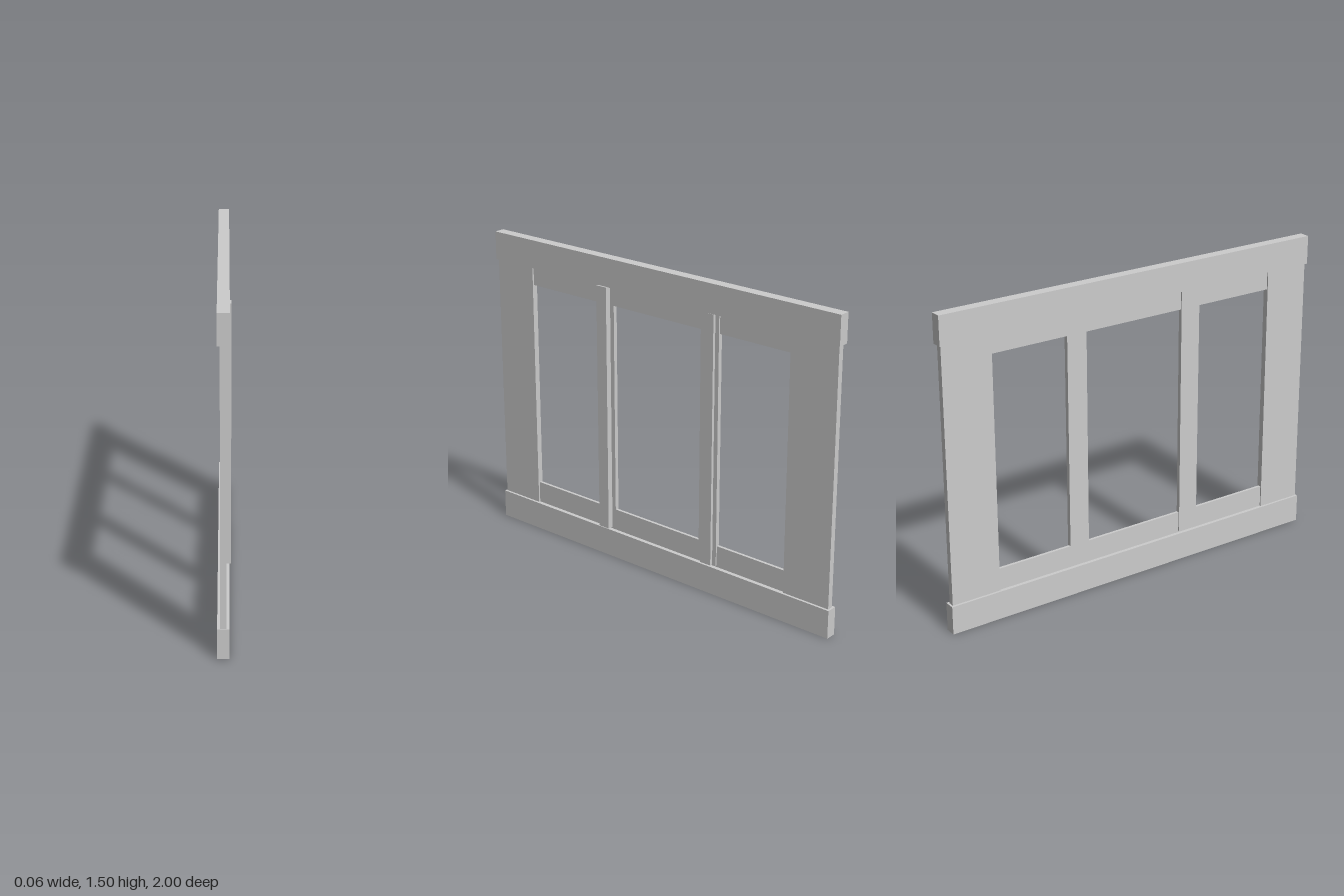
import * as THREE from 'three';

export function createModel() {
  const group = new THREE.Group();
  group.name = 'windowFrame';
  const material = new THREE.MeshStandardMaterial({ color: 0xcccccc, flatShading: true });

  // Plank given by its [min, max] extents on each axis
  const plank = (name, x, y, z) => {
    const mesh = new THREE.Mesh(
      new THREE.BoxGeometry(x[1] - x[0], y[1] - y[0], z[1] - z[0]), material);
    mesh.position.set((x[0] + x[1]) / 2, (y[0] + y[1]) / 2, (z[0] + z[1]) / 2);
    mesh.name = name;
    group.add(mesh);
  };

  // Thick beams along the bottom and top
  const beamX = [-0.03, 0.022];
  plank('bottomBeam', beamX, [0, 0.137], [-1, 1]);
  plank('topBeam', beamX, [1.36, 1.497], [-1, 1]);

  // Upright boards at both ends, one of them doubled
  const stileX = [-0.018, 0.01], fullY = [0.137, 1.36];
  plank('endStile', stileX, fullY, [0.77, 0.995]);
  plank('innerStile', stileX, fullY, [-0.855, -0.745]);
  plank('outerStile', stileX, fullY, [-0.99, -0.855]);

  // Recessed rails above and below the openings
  const railX = [-0.012, 0.002];
  plank('lowerRail', railX, [0.137, 0.243], [-0.745, 0.77]);
  plank('upperRail', railX, [1.27, 1.36], [-0.745, 0.77]);

  // Mullions: one laps the rails on each face
  const lapY = [0.145, 1.36];
  plank('backMullion', [-0.018, -0.012], lapY, [0.261, 0.363]);
  plank('backMullionCore', railX, [0.243, 1.27], [0.261, 0.363]);
  plank('frontMullion', [0.002, 0.009], lapY, [-0.36, -0.258]);
  plank('frontMullionCore', railX, [0.243, 1.27], [-0.36, -0.258]);

  // Narrow cover strips over the mullions
  plank('coverStrip', [0.002, 0.03], lapY, [0.283, 0.342]);
  plank('coverStrip', [0.009, 0.023], lapY, [-0.339, -0.28]);

  return group;
}
